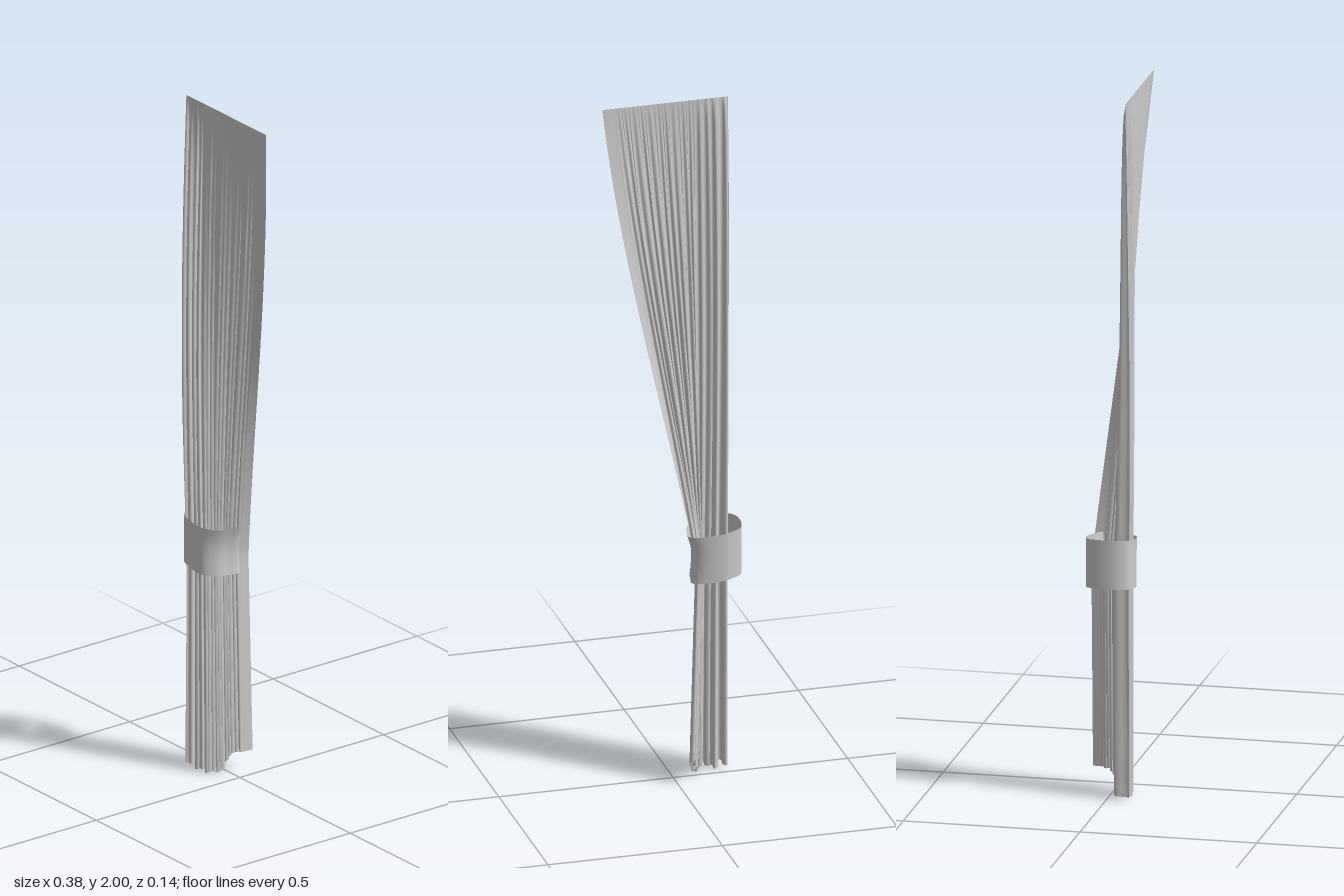
import * as THREE from 'three';

const material = new THREE.MeshStandardMaterial({ color: 0xcccccc, side: THREE.DoubleSide, roughness: 0.9 });
const { lerp, clamp, smoothstep } = THREE.MathUtils;
const v = (x, z) => new THREE.Vector3(x, 0, z);

// Grid surface from a rule: point(u, t) -> [x, y, z]
function sheet(name, cols, rows, point) {
  const geo = new THREE.PlaneGeometry(1, 1, cols, rows);
  const pos = geo.attributes.position;
  for (let j = 0, k = 0; j <= rows; j++) {
    for (let i = 0; i <= cols; i++, k++) pos.setXYZ(k, ...point(i / cols, 1 - j / rows));
  }
  geo.computeVertexNormals();
  const mesh = new THREE.Mesh(geo, material);
  mesh.name = name;
  return mesh;
}

// Plan of the gathered cloth: across the front, then round to the back
const gathered = new THREE.CatmullRomCurve3([
  v(-0.165, 0.063), v(-0.125, 0.063), v(-0.085, 0.056), v(-0.077, 0.037), v(-0.070, 0.022),
  v(-0.066, 0.006), v(-0.06, -0.008), v(-0.054, -0.03), v(-0.05, -0.069),
]);
const FOLDS = 14;

function curtainPoint(u, t) {
  // Stepped hem, higher towards the back edge
  const hem = 0.055 * smoothstep(u, 0.5, 0.78) + 0.006 * (1 + Math.sin(u * 40)) * (1 - u);
  const y = lerp(hem, 2, t);
  const s = clamp((y - 0.65) / 1.35, 0, 1);
  const spread = s + 0.5 * s * s * (1 - s);
  const p = gathered.getPoint(u), d = gathered.getTangent(u);

  // Pleats pushed inwards from the plan, dying out at the flat top and back panel
  const phase = 2 * Math.PI * (FOLDS * u / 0.9 + 0.12 * Math.sin(u * 37) + 0.06 * Math.sin(3 * y + u * 25));
  const size = lerp(0.042, 0.015, smoothstep(u, 0.08, 0.28)) * (0.85 + 0.25 * Math.sin(u * 53 + 1));
  const fade = Math.sqrt(1 - s) * (1 - smoothstep(u, 0.86, 0.92));
  const depth = size * fade * (0.5 - 0.5 * Math.cos(phase));
  const sway = 0.004 * fade * Math.sin(2 * phase);

  const flare = 0.02 * u * clamp(1 - y / 0.6, 0, 1);
  const bulge = Math.sin(Math.PI * s) * (1 - u);
  return [
    lerp(p.x + flare, -0.172 + 0.36 * u, spread) + d.z * depth + d.x * sway - 0.007 * bulge,
    y,
    lerp(p.z, 0.054, s) - d.x * depth + d.z * sway + 0.008 * bulge,
  ];
}

// Loop of the tie, flared where it wraps the gathered side
const loop = new THREE.CatmullRomCurve3([
  v(-0.19, 0.03), v(-0.19, -0.02), v(-0.178, -0.05), v(-0.14, -0.064), v(-0.1, -0.062),
  v(-0.065, -0.048), v(-0.049, -0.03), v(-0.054, 0), v(-0.062, 0.035), v(-0.088, 0.066),
  v(-0.13, 0.071), v(-0.172, 0.062),
], true);

function tiePoint(u, t) {
  const p = loop.getPoint(u % 1);
  const side = smoothstep(p.x, -0.12, -0.05);
  const slope = (p.x + 0.19) / 0.14;
  const flare = side * (t > 0.45 ? 0.05 * (t - 0.45) ** 2 : 0.025 * (0.45 - t) ** 2);
  return [p.x + flare, lerp(0.61, 0.75, t) - 0.02 * slope, p.z];
}

export function createModel() {
  const group = new THREE.Group();
  group.name = 'tiedCurtain';
  group.add(sheet('curtain', 336, 60, curtainPoint));
  group.add(sheet('tieBand', 72, 10, tiePoint));
  return group;
}
